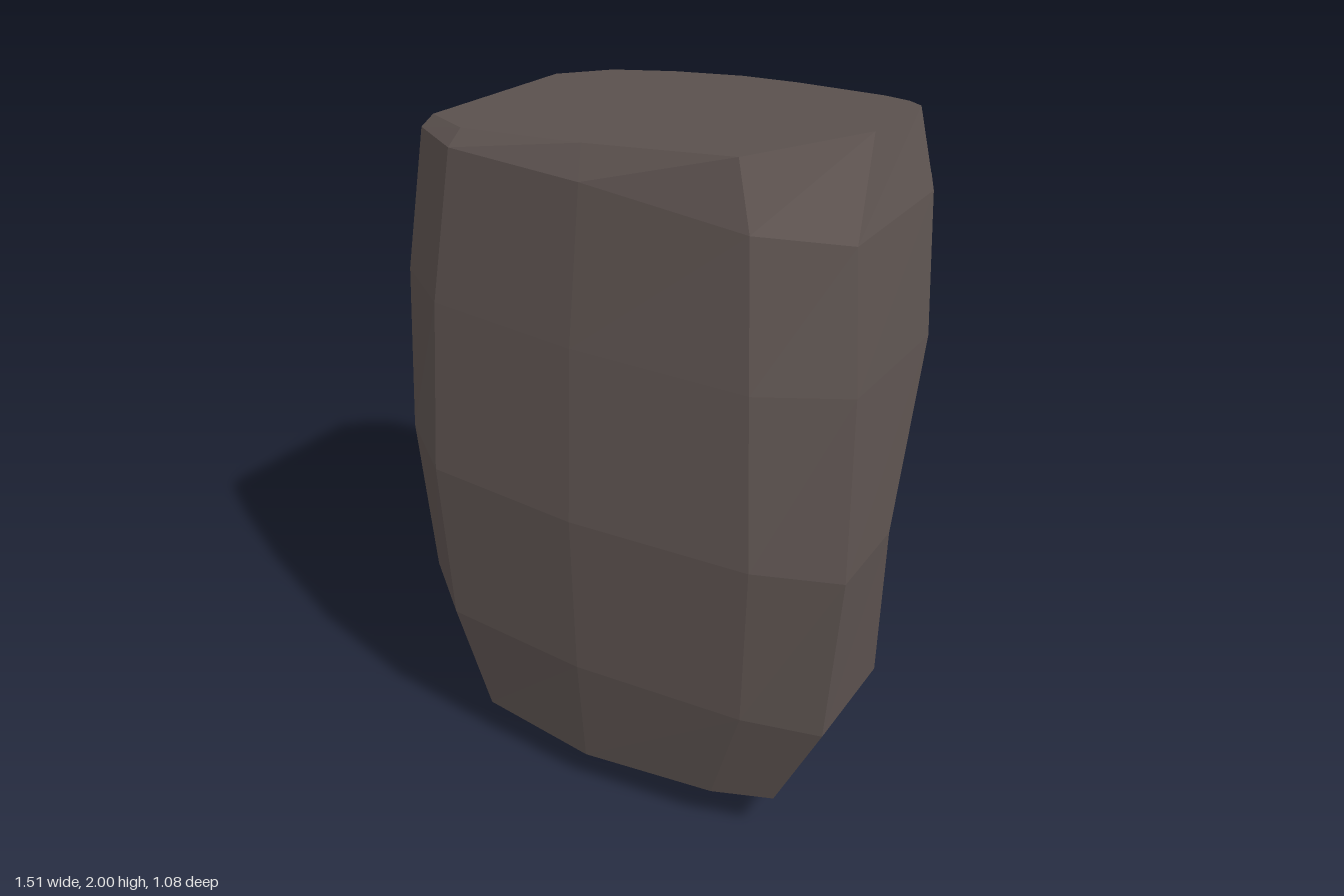
import * as THREE from 'three';

// Relative outline shared by all sections: [share of half width, share of depth]
const frontOutline = [[-1, 0.64], [-0.71, 0.95], [-0.05, 1], [0.68, 0.92]];
const backOutline = [[0.27, -0.95], [-0.05, -1], [-0.42, -0.98], [-0.74, -0.9], [-0.96, -0.685]];

// Extents of each section from bottom to top. ridge and crease are the z of the
// two right side corners, hollow is the [x, z] of the hollow behind them.
// tilt is the slope of the section along x and z, bend its curve along x.
const sections = [
  { y: 0.027, left: -0.3, right: 0.25, front: 0.39, back: 0.31, ridge: 0.28, crease: 0.05, hollow: [0.22, -0.25], tilt: [0, -0.07], bend: 0 },
  { y: 0.145, left: -0.57, right: 0.575, front: 0.505, back: 0.445, ridge: 0.42, crease: 0.08, hollow: [0.37, -0.34], tilt: [0, -0.1], bend: 0.12 },
  { y: 0.475, left: -0.7, right: 0.73, front: 0.54, back: 0.5, ridge: 0.44, crease: 0.11, hollow: [0.43, -0.365], tilt: [0, -0.05], bend: 0 },
  { y: 0.96, left: -0.755, right: 0.755, front: 0.53, back: 0.525, ridge: 0.4, crease: 0.13, hollow: [0.45, -0.31], tilt: [0, -0.05], bend: 0 },
  { y: 1.43, left: -0.76, right: 0.7, front: 0.46, back: 0.54, ridge: 0.28, crease: -0.16, hollow: [0.53, -0.36], tilt: [-0.02, 0], bend: 0 },
  { y: 1.87, left: -0.715, right: 0.635, front: 0.385, back: 0.535, ridge: 0.19, crease: -0.27, hollow: [0.58, -0.36], tilt: [-0.07, 0], bend: -0.1 },
  { y: 1.952, left: -0.705, right: 0.55, front: 0.32, back: 0.505, ridge: -0.05, crease: -0.34, hollow: [0.49, -0.38], tilt: [0.09, 0.04], bend: 0 },
];

// Corners of one section, from front left round the right side to the back
function ring({ y, left, right, front, back, ridge, crease, hollow, tilt, bend }) {
  const middle = (left + right) / 2, half = (right - left) / 2;
  const place = ([u, w]) => [middle + u * half, w * (w > 0 ? front : back)];
  const corners = [
    ...frontOutline.map(place),
    [right, ridge],
    [middle + 0.99 * half, crease],
    hollow,
    [hollow[0] - 0.09, -0.82 * back],
    ...backOutline.map(place),
  ];
  return corners.map(([x, z]) => [x, y + tilt[0] * x + tilt[1] * z + bend * x * x, z]);
}

// Joins the rings with quads and closes both ends with fans
function loft(rings, bottom, top) {
  const n = rings[0].length;
  const points = [...rings.flat(), bottom, top];
  const bottomId = points.length - 2, topId = points.length - 1;
  const last = (rings.length - 1) * n;
  const index = [];
  for (let i = 0; i < n; i++) {
    const j = (i + 1) % n;
    for (let r = 0; r < last; r += n) {
      index.push(r + i, r + j, r + n + j, r + i, r + n + j, r + n + i);
    }
    index.push(bottomId, j, i, topId, last + i, last + j);
  }
  const geometry = new THREE.BufferGeometry();
  geometry.setAttribute('position', new THREE.Float32BufferAttribute(points.flat(), 3));
  geometry.setIndex(index);
  const faceted = geometry.toNonIndexed();
  faceted.computeVertexNormals();
  return faceted;
}

export function createModel() {
  const group = new THREE.Group();
  group.name = 'boulder';

  // Faceted upright stone
  const stone = new THREE.Mesh(
    loft(sections.map(ring), [-0.02, 0.025, 0.03], [-0.08, 1.945, -0.05]),
    new THREE.MeshStandardMaterial({ color: 0x5c524f, flatShading: true })
  );
  stone.name = 'stone';
  group.add(stone);
  return group;
}
